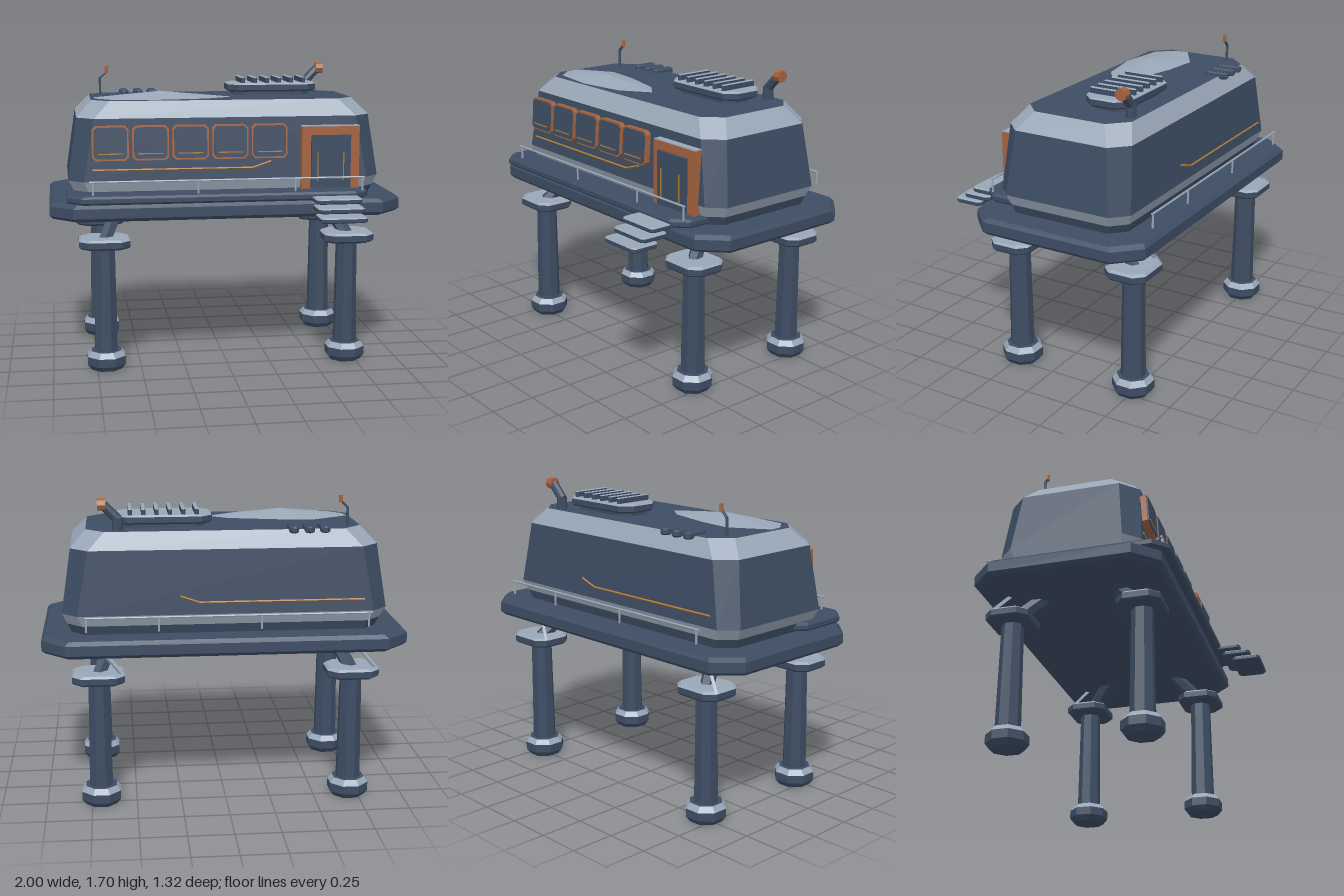
import * as THREE from 'three';

const mat = (name, color) => {
  const m = new THREE.MeshStandardMaterial({ color });
  m.name = name;
  return m;
};

export function createModel() {
  const root = new THREE.Group();
  root.name = 'stiltCabin';
  const slate = mat('slate', 0x3d4d63);
  const pale = mat('paleSteel', 0x98a6b6);
  const copper = mat('copper', 0xa5623f);
  const gold = mat('gold', 0xb07a35);

  const add = (name, geo, material, parent = root) => {
    const m = new THREE.Mesh(geo, material);
    m.name = name;
    parent.add(m);
    return m;
  };

  // Chamfered-rectangle outline at height y
  const ring = ([y, x0, x1, z0, z1, c]) => [
    [x0 + c, z1], [x1 - c, z1], [x1, z1 - c], [x1, z0 + c],
    [x1 - c, z0], [x0 + c, z0], [x0, z0 + c], [x0, z1 - c],
  ].map(([x, z]) => [x, y, z]);

  // Stacked outlines with caps; colours: one per band, then the top cap
  const loft = (name, levels, colours, parent = root) => {
    const rings = levels.map(ring);
    const pos = [], geo = new THREE.BufferGeometry(), mats = [slate, pale];
    const group = (m, faces) => {
      geo.addGroup(pos.length / 3, faces.length, mats.indexOf(m));
      faces.forEach((p) => pos.push(...p));
    };
    for (let k = 0; k + 1 < rings.length; k++) {
      const faces = [];
      for (let i = 0; i < 8; i++) {
        const j = (i + 1) % 8, a = rings[k], b = rings[k + 1];
        faces.push(a[i], a[j], b[j], a[i], b[j], b[i]);
      }
      group(colours[k], faces);
    }
    const top = rings[rings.length - 1], bot = rings[0], tf = [], bf = [];
    for (let i = 1; i < 7; i++) {
      tf.push(top[0], top[i], top[i + 1]);
      bf.push(bot[0], bot[i + 1], bot[i]);
    }
    group(colours[rings.length - 1], tf);
    group(slate, bf);
    geo.setAttribute('position', new THREE.Float32BufferAttribute(pos, 3));
    geo.computeVertexNormals();
    return add(name, geo, mats, parent);
  };

  // Slab with bevelled top and bottom edges
  const slab = (name, x0, x1, y0, y1, z0, z1, c, b, bevel, top, parent) => loft(name, [
    [y0, x0 + b, x1 - b, z0 + b, z1 - b, c], [y0 + b, x0, x1, z0, z1, c],
    [y1 - b, x0, x1, z0, z1, c], [y1, x0 + b, x1 - b, z0 + b, z1 - b, c],
  ], [slate, slate, bevel, top], parent);

  const box = (name, x0, x1, y0, y1, z0, z1, m, parent) => {
    const g = new THREE.BoxGeometry(x1 - x0, y1 - y0, z1 - z0);
    g.translate((x0 + x1) / 2, (y0 + y1) / 2, (z0 + z1) / 2);
    return add(name, g, m, parent);
  };

  // Straight faceted bar between two points
  const bar = (name, a, b, r, sides, m, parent) => {
    const p = new THREE.Vector3(...a), q = new THREE.Vector3(...b), d = q.clone().sub(p);
    const g = new THREE.CylinderGeometry(r, r, d.length(), sides).toNonIndexed();
    g.computeVertexNormals();
    const mesh = add(name, g, m, parent);
    mesh.position.copy(p).add(q).multiplyScalar(0.5);
    mesh.quaternion.setFromUnitVectors(new THREE.Vector3(0, 1, 0), d.normalize());
    return mesh;
  };

  // Deck and raised porch
  slab('deck', -1, 1, 0.875, 0.97, -0.66, 0.385, 0.13, 0.02, slate, slate);
  slab('porch', -0.905, 0.79, 0.975, 1.022, -0.01, 0.42, 0.08, 0.012, slate, slate);

  // Cabin hull with pale bevels at roof and base
  loft('hull', [
    [0.97, -0.84, 0.84, -0.5, 0.23, 0.08],
    [1.02, -0.86, 0.86, -0.515, 0.24, 0.08],
    [1.08, -0.893, 0.888, -0.537, 0.26, 0.085],
    [1.43, -0.84, 0.835, -0.507, 0.237, 0.095],
    [1.522, -0.755, 0.75, -0.452, 0.172, 0.1],
  ], [slate, pale, slate, pale, slate]);

  // Legs: foot, column, cap and braces
  for (const sx of [-1, 1]) for (const z of [0.235, -0.495]) {
    const leg = new THREE.Group(), x = sx * 0.698;
    leg.name = 'leg';
    root.add(leg);
    const lv = (y, r) => [y, x - r, x + r, z - r, z + r, r * 0.586];
    loft('foot', [lv(0, 0.085), lv(0.03, 0.107), lv(0.078, 0.107), lv(0.108, 0.085)],
      [slate, slate, pale, slate], leg);
    loft('column', [lv(0.1, 0.064), lv(0.73, 0.056)], [slate, slate], leg);
    slab('legCap', x - 0.143, x + 0.143, 0.708, 0.765, z - 0.122, z + 0.122, 0.05, 0.012, pale, pale, leg);
    bar('brace', [x, 0.74, z], [sx * 0.615, 0.9, z + (z > 0 ? -0.15 : 0.15)], 0.04, 6, slate, leg);
    if (z < 0) bar('thinBrace', [x - 0.135, 0.75, z - 0.065], [x - 0.015, 0.89, z - 0.01], 0.012, 4, pale, leg);
  }

  // Entry steps
  for (let i = 0; i < 3; i++) {
    const y = 0.887 + i * 0.042, z = 0.66 - i * 0.06;
    slab('step', 0.455, 0.715, y, y + 0.029, z - 0.17, z, 0.018, 0.006, pale, pale);
  }

  // Chamfered upright plate, optionally with a hole
  const outline = (Kind, w, h, c) => new Kind([
    [-w + c, -h], [w - c, -h], [w, -h + c], [w, h - c], [w - c, h], [-w + c, h], [-w, h - c], [-w, -h + c],
  ].map((p) => new THREE.Vector2(...p)));
  const plate = (w, h, c, depth, rim) => {
    const s = outline(THREE.Shape, w, h, c);
    if (rim) s.holes.push(outline(THREE.Path, w - rim, h - rim, c * 0.8));
    return new THREE.ExtrudeGeometry(s, { depth, bevelEnabled: false });
  };

  // Row of windows
  for (let i = 0; i < 5; i++) {
    const w = new THREE.Group();
    w.name = 'window';
    w.position.set(-0.658 + i * 0.2235, 1.295, 0.236);
    w.rotation.x = -0.065;
    root.add(w);
    add('windowFrame', plate(0.102, 0.097, 0.02, 0.04, 0.01), copper, w);
    add('windowPane', plate(0.092, 0.087, 0.016, 0.047), slate, w);
    box('windowTrim', -0.07, 0.07, -0.062, -0.056, 0.045, 0.051, gold, w);
  }

  // Doorway
  box('doorJamb', 0.42, 0.472, 1.022, 1.375, 0.2, 0.288, copper);
  box('doorJamb', 0.698, 0.752, 1.022, 1.375, 0.2, 0.288, copper);
  box('doorLintel', 0.472, 0.698, 1.327, 1.375, 0.2, 0.288, copper);
  box('lintelCap', 0.42, 0.752, 1.375, 1.38, 0.2, 0.286, pale);
  box('door', 0.472, 0.698, 1.03, 1.327, 0.2, 0.308, slate);
  for (const x of [0.507, 0.656]) box('doorTrim', x - 0.003, x + 0.003, 1.07, 1.235, 0.305, 0.313, gold);

  // Gold side stripes and handrails, front and back
  for (const [z, z2, rz] of [[0.259, 0.256, 0.362], [-0.535, -0.532, -0.637]]) {
    bar('stripe', [-0.757, 1.145, z], [0.145, 1.145, z], 0.006, 4, gold);
    bar('stripeEnd', [0.145, 1.145, z], [0.25, 1.18, z2], 0.006, 4, gold);
    bar('handrail', [-0.78, 1.095, rz], [0.765, 1.095, rz], 0.006, 6, pale);
    for (const x of [-0.76, -0.18, 0.37, 0.755]) bar('railPost', [x, 1.018, rz], [x, 1.098, rz], 0.006, 6, pale);
  }

  // Low faceted skylight mound: a fan about its peak
  const rim = [[-0.74, -0.05], [-0.73, 0.03], [-0.65, 0.125], [-0.375, 0.165], [-0.1, 0.12], [0.062, 0.005],
    [-0.05, -0.08], [-0.32, -0.15], [-0.53, -0.175], [-0.69, -0.08]];
  const fan = rim.flatMap(([x, z], i) => {
    const [x2, z2] = rim[(i + 1) % rim.length];
    return [-0.36, 1.565, 0.01, x, 1.526, z, x2, 1.526, z2];
  });
  const mound = new THREE.BufferGeometry();
  mound.setAttribute('position', new THREE.Float32BufferAttribute(fan, 3));
  mound.computeVertexNormals();
  add('roofMound', mound, pale);

  // Roof cooling unit with louvres
  slab('coolerBase', 0.1, 0.55, 1.515, 1.548, -0.335, -0.135, 0.05, 0.004, slate, slate);
  slab('cooler', 0.06, 0.59, 1.543, 1.594, -0.368, -0.105, 0.06, 0.01, pale, pale);
  for (let i = 0; i < 6; i++) {
    const x = 0.146 + i * 0.0725;
    slab('louvre', x - 0.011, x + 0.011, 1.59, 1.626, -0.354, -0.12, 0.006, 0.003, pale, pale);
  }

  // Roof pods
  for (const x of [-0.54, -0.455, -0.37])
    slab('roofPod', x - 0.026, x + 0.026, 1.505, 1.543, -0.502, -0.355, 0.016, 0.008, slate, slate);

  // Exhaust stack
  bar('stack', [0.577, 1.515, -0.405], [0.577, 1.59, -0.405], 0.03, 8, slate);
  bar('stackElbow', [0.572, 1.58, -0.405], [0.65, 1.66, -0.405], 0.027, 8, slate);
  bar('stackMouth', [0.64, 1.664, -0.405], [0.684, 1.664, -0.405], 0.034, 8, copper);

  // Antenna
  bar('antennaMast', [-0.687, 1.515, -0.342], [-0.687, 1.622, -0.342], 0.008, 6, slate);
  bar('antennaArm', [-0.687, 1.618, -0.342], [-0.65, 1.655, -0.342], 0.008, 6, slate);
  bar('antennaTip', [-0.648, 1.648, -0.342], [-0.648, 1.687, -0.342], 0.011, 6, copper);

  return root;
}
